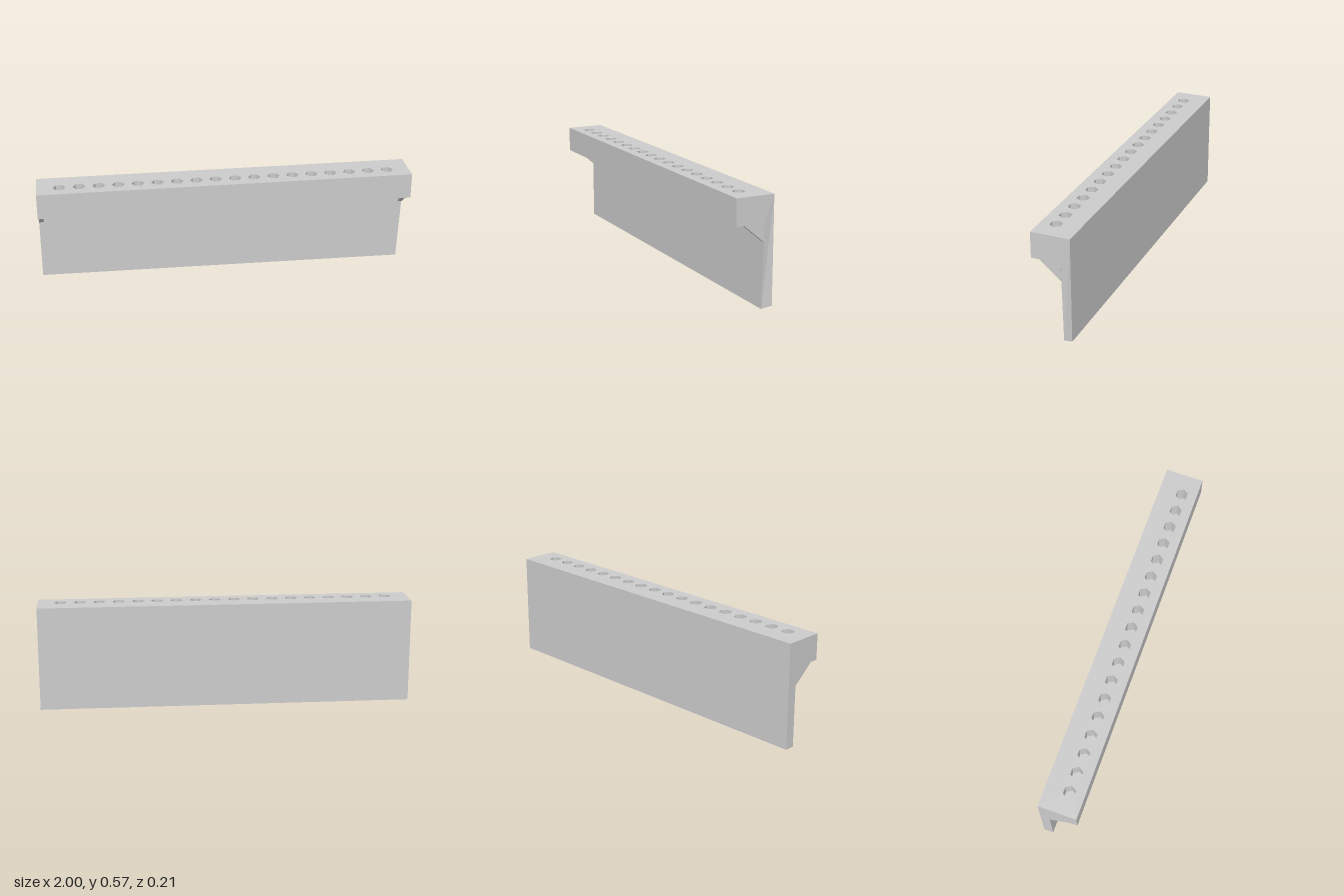
import * as THREE from 'three';

const TOP = 0.57, LEDGE = 0.432, BASE = 0.013;
const FRONT = 0.103, BACK = -0.103, PANEL = -0.052;
const HOLES = 18, HOLE_R = 0.034, HOLE_Z = 0.023, HOLE_DEPTH = 0.1;

const grey = new THREE.MeshStandardMaterial({ color: 0xcccccc, flatShading: true });
const inside = new THREE.MeshStandardMaterial({ color: 0xcccccc, flatShading: true, side: THREE.BackSide });

// Extrudes a [z, y] profile along x, centred on x = 0
function extrudeAlongX(points, width) {
  const shape = new THREE.Shape(points.map(([z, y]) => new THREE.Vector2(z, y)));
  const geo = new THREE.ExtrudeGeometry(shape, { depth: width, bevelEnabled: false });
  return geo.translate(0, 0, -width / 2).rotateY(-Math.PI / 2);
}

function addMesh(parent, name, geo, mat = grey) {
  const mesh = new THREE.Mesh(geo, mat);
  mesh.name = name;
  parent.add(mesh);
  return mesh;
}

// L-shaped body, open at the top where the pierced face goes
function bodyGeometry() {
  const geo = extrudeAlongX([
    [BACK, BASE], [PANEL, BASE], [PANEL, LEDGE],
    [FRONT, LEDGE], [FRONT, TOP], [BACK, TOP],
  ], 2);
  const p = geo.attributes.position;
  const kept = [];
  for (let i = 0; i < p.count; i += 3) {
    const tri = [0, 1, 2].map((k) => new THREE.Vector3().fromBufferAttribute(p, i + k));
    if (tri.every((v) => Math.abs(v.y - TOP) < 1e-4)) continue;
    for (const v of tri) {
      // the lower front corner on the left end is pulled down and inwards
      if (v.x > 0.99 && v.y < BASE + 0.001 && v.z > PANEL - 0.001) v.set(0.985, 0, PANEL);
      kept.push(v.x, v.y, v.z);
    }
  }
  const body = new THREE.BufferGeometry();
  body.setAttribute('position', new THREE.Float32BufferAttribute(kept, 3));
  body.computeVertexNormals();
  return body;
}

export function createModel() {
  const model = new THREE.Group();
  model.name = 'holderRail';
  addMesh(model, 'body', bodyGeometry());

  // Top face pierced by a row of hexagonal sockets
  const face = new THREE.Shape([
    new THREE.Vector2(-1, -FRONT), new THREE.Vector2(1, -FRONT),
    new THREE.Vector2(1, -BACK), new THREE.Vector2(-1, -BACK),
  ]);
  const sockets = new THREE.Group();
  sockets.name = 'sockets';
  const wallGeo = new THREE.CylinderGeometry(HOLE_R, HOLE_R, HOLE_DEPTH, 6, 1, true, Math.PI / 2);
  const floorGeo = new THREE.CircleGeometry(HOLE_R, 6).rotateX(-Math.PI / 2);
  for (let i = 0; i < HOLES; i++) {
    const x = -0.88 + (1.76 * i) / (HOLES - 1);
    const corners = [];
    for (let k = 0; k < 6; k++) {
      const a = (-k * Math.PI) / 3;
      corners.push(new THREE.Vector2(x + HOLE_R * Math.cos(a), -HOLE_Z + HOLE_R * Math.sin(a)));
    }
    face.holes.push(new THREE.Path(corners));
    addMesh(sockets, 'socketWall', wallGeo, inside).position.set(x, TOP - HOLE_DEPTH / 2, HOLE_Z);
    addMesh(sockets, 'socketFloor', floorGeo).position.set(x, TOP - HOLE_DEPTH, HOLE_Z);
  }
  model.add(sockets);
  addMesh(model, 'topFace', new THREE.ShapeGeometry(face).rotateX(-Math.PI / 2).translate(0, TOP, 0));

  // Triangular gusset under the ledge at each end
  const gussetGeo = extrudeAlongX([[PANEL, 0.337], [0.06, LEDGE], [PANEL, LEDGE]], 0.025);
  for (const side of [-1, 1]) {
    addMesh(model, side > 0 ? 'leftGusset' : 'rightGusset', gussetGeo).position.x = side * 0.9875;
  }
  return model;
}
